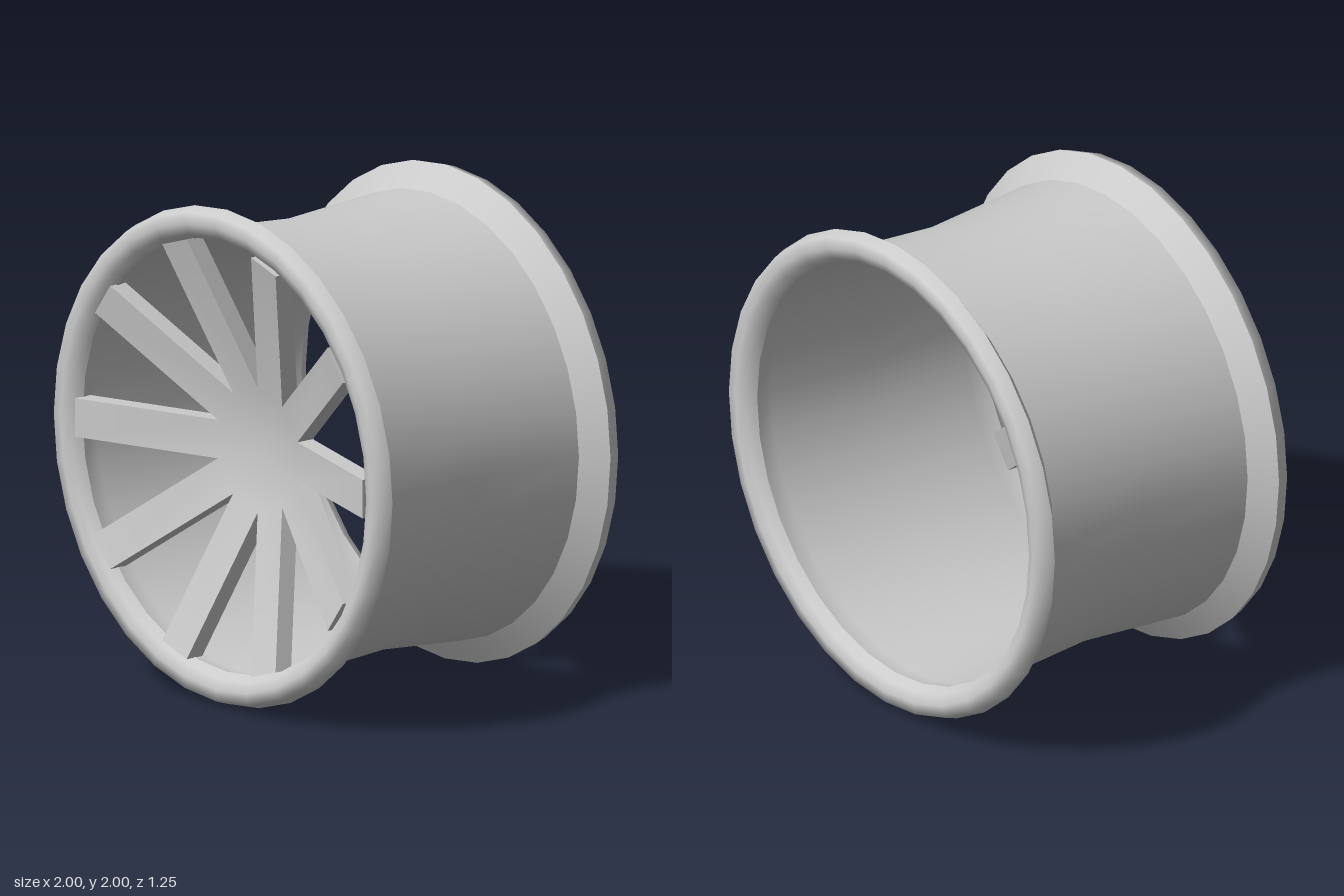
import * as THREE from 'three';
import { toCreasedNormals } from 'three/addons/utils/BufferGeometryUtils.js';

const SIDES = 32;
const SPOKES = 10;

export function createModel() {
  const wheel = new THREE.Group();
  wheel.name = 'wheel';
  const material = new THREE.MeshStandardMaterial({ color: 0xcccccc });

  const add = (name, geometry) => {
    const mesh = new THREE.Mesh(geometry, material);
    mesh.name = name;
    mesh.position.y = 1;
    wheel.add(mesh);
  };

  // Ring turned about the z axis from [radius, z] points
  const ring = (points) =>
    new THREE.LatheGeometry(points.map(([r, z]) => new THREE.Vector2(r, z)), SIDES).rotateX(Math.PI / 2);
  const mirrored = (points) => points.map(([r, z]) => [r, -z]).reverse();

  // Rim: waisted barrel with a thin wall, flares and rounded lips at both ends
  const flare = [[0.9, 0.485], [1, 0.563]];
  const lip = [[1, 0.563], [0.982, 0.618], [0.935, 0.623], [0.892, 0.607], [0.87, 0.565]];
  add('barrel', ring([[0.9, -0.485], [0.866, 0], [0.9, 0.485]]));
  add('innerWall', ring([[0.87, 0.565], [0.885, 0.485], [0.85, 0], [0.885, -0.485], [0.87, -0.565]]));
  add('frontFlare', ring(flare));
  add('backFlare', ring(mirrored(flare)));
  add('frontLip', ring(lip));
  add('backLip', ring(mirrored(lip)));

  // Spokes: dished star, each arm a wedge from the hub centre plus a straight bar
  const half = 0.078, tip = 0.868, thick = 0.08;
  const inner = half / Math.tan(Math.PI / SPOKES);
  const outline = [[0, 0, 0.37], [inner, -half, 0.405], [tip, -half, 0.605], [tip, half, 0.605], [inner, half, 0.405]];
  const positions = [];
  for (let i = 0; i < SPOKES; i++) {
    const a = (i / SPOKES) * Math.PI * 2, c = Math.cos(a), s = Math.sin(a);
    const place = (depth) => outline.map(([x, y, z]) => [x * c - y * s, x * s + y * c, z - depth]);
    const f = place(0), b = place(thick);
    for (const [p, q, r] of [[0, 1, 4], [1, 2, 3], [1, 3, 4]]) {
      positions.push(...f[p], ...f[q], ...f[r], ...b[p], ...b[r], ...b[q]);
    }
    for (const p of [1, 2, 3]) {
      const q = p + 1;
      positions.push(...f[p], ...b[p], ...b[q], ...f[p], ...b[q], ...f[q]);
    }
  }
  const star = new THREE.BufferGeometry();
  star.setAttribute('position', new THREE.Float32BufferAttribute(positions, 3));
  add('spokes', toCreasedNormals(star, 0.5));

  return wheel;
}
